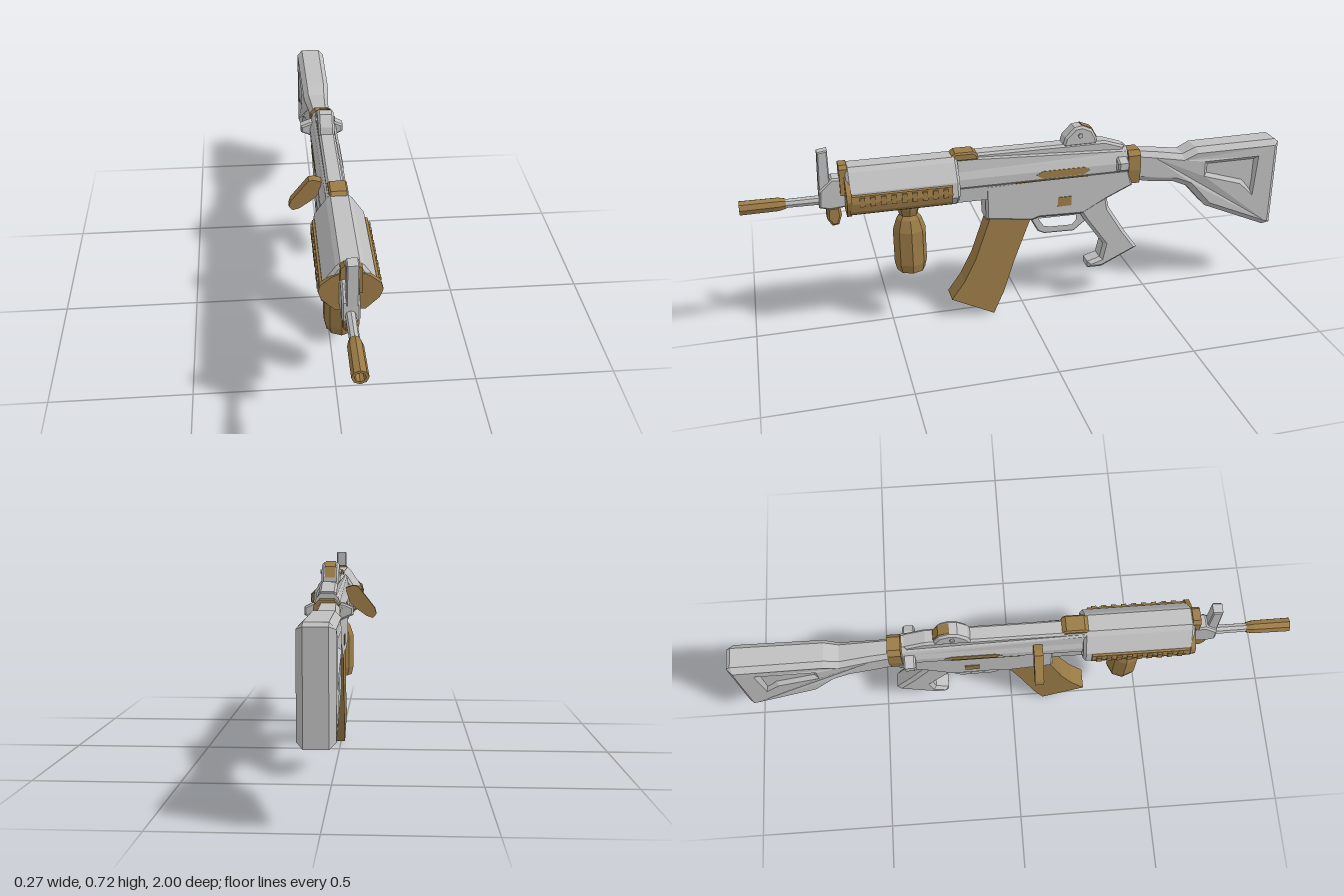
import * as THREE from 'three';

const CX = 0.02; // the body sits slightly off x = 0

export function createModel() {
  const group = new THREE.Group();
  const grey = new THREE.MeshStandardMaterial({ color: 0xc0c0c0 });
  grey.name = 'light grey metal';
  const brown = new THREE.MeshStandardMaterial({ color: 0x9c7c47 });
  brown.name = 'ochre brown';

  function add(name, geometry, material) {
    const g = geometry.index ? geometry.toNonIndexed() : geometry;
    g.computeVertexNormals();
    const mesh = new THREE.Mesh(g, material);
    mesh.name = name;
    group.add(mesh);
    return mesh;
  }

  function extrude(pts, depth, bevel, hole) {
    const v = (list) => list.map(([a, b]) => new THREE.Vector2(a, b));
    const shape = new THREE.Shape(v(pts));
    if (hole) shape.holes.push(new THREE.Path(v(hole)));
    return new THREE.ExtrudeGeometry(shape, {
      depth: depth - 2 * bevel, bevelEnabled: bevel > 0, bevelSize: bevel,
      bevelThickness: bevel, bevelOffset: -bevel, bevelSegments: 1, steps: 1,
    }).translate(0, 0, bevel);
  }

  // Side outline [z, y] with a width across x
  function side(pts, half, bevel = 0, hole = null, cx = CX) {
    return extrude(pts, half * 2, bevel, hole)
      .translate(0, 0, -half).rotateY(-Math.PI / 2).translate(cx, 0, 0);
  }

  // Cross-section [x, y] running from z0 to z1
  function bar(pts, z0, z1, bevel = 0) {
    return extrude(pts, z1 - z0, bevel).translate(0, 0, z0);
  }

  // Half section mirrored about the body's centre line, listed top to bottom
  const mirror = (pts) => [
    ...pts.map(([x, y]) => [CX - x, y]),
    ...pts.slice().reverse().map(([x, y]) => [CX + x, y]),
  ];

  function box(name, w, h, d, x, y, z, material) {
    return add(name, new THREE.BoxGeometry(w, h, d).translate(x, y, z), material);
  }

  function bend(geometry, rule) {
    const p = geometry.attributes.position;
    for (let i = 0; i < p.count; i++) {
      const [x, y, z] = rule(p.getX(i), p.getY(i), p.getZ(i));
      p.setXYZ(i, x, y, z);
    }
    return geometry;
  }

  // Upper receiver, top dropping towards the rear
  const receiver = bar(mirror([[0.022, 0.65], [0.036, 0.635], [0.042, 0.59], [0.051, 0.565], [0.051, 0.535], [0.045, 0.528], [0.042, 0.475]]), -0.385, 0.265);
  add('upperReceiver', bend(receiver, (x, y, z) =>
    [x, z < 0 && y > 0.6 ? y - 0.03 : y, z]), grey);
  add('receiverTopRail', side([[0.265, 0.63], [0.265, 0.65], [-0.3, 0.65], [-0.375, 0.625], [-0.375, 0.6], [0.2, 0.6]], 0.03, 0.008), grey);

  // Lower receiver with magazine well
  add('lowerReceiver', side([[0.15, 0.53], [0.15, 0.395], [-0.02, 0.37], [-0.05, 0.38], [-0.22, 0.375],
    [-0.31, 0.425], [-0.41, 0.47], [-0.39, 0.54]], 0.045, 0.008), grey);
  add('triggerGuard', side([[-0.01, 0.39], [-0.05, 0.315], [-0.075, 0.303], [-0.19, 0.3], [-0.24, 0.34], [-0.23, 0.39]], 0.025, 0.004,
    [[-0.046, 0.37], [-0.07, 0.33], [-0.1, 0.325], [-0.183, 0.323], [-0.202, 0.345], [-0.202, 0.37]]), grey);

  // Pistol grip
  add('pistolGrip', side([[-0.2, 0.39], [-0.23, 0.34], [-0.305, 0.235], [-0.293, 0.18], [-0.245, 0.165], [-0.246, 0.14],
    [-0.3, 0.138], [-0.442, 0.205], [-0.385, 0.285], [-0.322, 0.385], [-0.31, 0.44]], 0.037, 0.012, null, 0.026), grey);

  // Stock, tapering to a narrow neck
  const pocket = [[-0.715, 0.515], [-0.895, 0.515], [-0.895, 0.4], [-0.86, 0.445], [-0.715, 0.49]];
  const stock = side([[-0.42, 0.595], [-0.5, 0.585], [-0.61, 0.567], [-0.66, 0.59], [-0.985, 0.592], [-1, 0.58], [-1, 0.24], [-0.97, 0.235],
    [-0.715, 0.345], [-0.635, 0.435], [-0.58, 0.458], [-0.5, 0.465], [-0.42, 0.48]], 0.056, 0.02, pocket, 0.012);
  add('stock', bend(stock, (x, y, z) => {
    const t = THREE.MathUtils.clamp((-z - 0.46) / 0.24, 0, 1);
    return [0.014 + (x - 0.014) * (0.68 + 0.32 * t), y, z];
  }), grey);
  add('stockRecessFloor', side([[-0.68, 0.54], [-0.925, 0.54], [-0.925, 0.35], [-0.85, 0.41], [-0.68, 0.46]], 0.042, 0, null, 0.012), grey);
  add('stockCollar', bar(mirror([[0.025, 0.603], [0.042, 0.585], [0.046, 0.53], [0.038, 0.475]]), -0.437, -0.39), brown);

  // Handguard with flared sides
  const guard = [[0.03, 0.65], [0.045, 0.635], [0.085, 0.575], [0.09, 0.52], [0.045, 0.477]];
  add('handguard', bar(mirror(guard).map(([x, y]) => [x + 0.008, y]), 0.25, 0.64, 0.01), grey);
  add('handguardFrontCap', bar(mirror([[0.03, 0.62], [0.06, 0.605], [0.095, 0.575], [0.102, 0.55], [0.092, 0.52], [0.048, 0.475]])
    .map(([x, y]) => [x + 0.01, y]), 0.628, 0.645), brown);
  add('handguardTopCap', bar(mirror([[0.022, 0.658], [0.034, 0.645], [0.036, 0.55]])
    .map(([x, y]) => [x + 0.01, y]), 0.632, 0.66), brown);
  for (const s of [-1, 1]) {
    const cx = CX + 0.009;
    add('handguardSidePanel', bar([[cx + s * 0.07, 0.572], [cx + s * 0.094, 0.566], [cx + s * 0.098, 0.54],
      [cx + s * 0.09, 0.508], [cx + s * 0.07, 0.49]], 0.28, 0.635), brown);
    for (let i = 0; i < 9; i++) {
      box('handguardRib', 0.008, 0.032, 0.018, cx + s * 0.097, 0.545, 0.305 + i * 0.036, brown);
    }
  }

  // Barrel and muzzle
  const lathe = (pts, n) => new THREE.LatheGeometry(pts.map(([r, h]) => new THREE.Vector2(r, h)), n);
  add('barrel', new THREE.CylinderGeometry(0.016, 0.019, 0.26, 8).rotateX(Math.PI / 2).translate(0.022, 0.525, 0.74), grey);
  add('muzzleDevice', lathe([[0, 0.845], [0.019, 0.845], [0.025, 0.87], [0.026, 1], [0.017, 1], [0.014, 0.94], [0, 0.94]], 8)
    .rotateX(Math.PI / 2).translate(0.022, 0.525, 0), brown);

  // Front sight
  add('frontSightBase', side([[0.64, 0.605], [0.685, 0.61], [0.73, 0.57], [0.735, 0.505], [0.7, 0.495], [0.64, 0.5]], 0.029, 0.006, null, 0.023), grey);
  add('frontSightPost', side([[0.692, 0.56], [0.692, 0.713], [0.727, 0.708], [0.733, 0.56]], 0.02, 0.004, null, 0.027), grey);
  add('frontLug', side([[0.71, 0.505], [0.712, 0.46], [0.695, 0.432], [0.672, 0.435], [0.66, 0.47], [0.665, 0.505]], 0.025, 0.008, null, 0.027), brown);

  // Rear sight with a plate over its rear slope
  add('rearSight', side([[-0.14, 0.64], [-0.15, 0.675], [-0.185, 0.71], [-0.215, 0.714], [-0.25, 0.698], [-0.268, 0.665], [-0.27, 0.64]], 0.03, 0.008, null, 0.018), grey);
  add('rearSightKnob', new THREE.CylinderGeometry(0.009, 0.009, 0.072, 6).rotateZ(Math.PI / 2).translate(0.018, 0.68, -0.205), grey);
  add('rearSightPlate', side([[-0.212, 0.717], [-0.252, 0.701], [-0.272, 0.665], [-0.267, 0.664], [-0.249, 0.697], [-0.213, 0.712]], 0.018, 0, null, 0.018), brown);
  add('topBlock', side([[0.27, 0.63], [0.268, 0.65], [0.255, 0.661], [0.19, 0.661], [0.176, 0.65], [0.174, 0.63]], 0.033, 0.006, null, 0.027), brown);

  // Charging handle on one side only
  add('chargingHandle', bar([[-0.136, 0.505], [-0.122, 0.49], [-0.098, 0.498], [-0.06, 0.525], [-0.01, 0.57], [-0.01, 0.6],
    [-0.045, 0.612], [-0.065, 0.61], [-0.13, 0.527]], 0.074, 0.106), brown);

  // Side controls
  add('crossPin', bar([[-0.066, 0.548], [-0.03, 0.532], [0.07, 0.532], [0.097, 0.548], [0.097, 0.574], [0.07, 0.588],
    [-0.03, 0.588], [-0.066, 0.574]], -0.383, -0.34, 0.006), grey);
  for (const s of [-1, 1]) {
    add('sideSlot', side([[-0.035, 0.553], [-0.06, 0.566], [-0.215, 0.566], [-0.24, 0.553], [-0.215, 0.539], [-0.06, 0.538]], 0.002, 0, null, CX + s * 0.0505), brown);
    box('sideGroove', 0.006, 0.004, 0.27, CX + s * 0.0475, 0.53, -0.095, brown);
    box('selectorPlate', 0.008, 0.036, 0.052, CX + s * 0.044, 0.436, -0.145, brown);
  }

  // Fore grip
  add('foreGrip', lathe([[0, 0.217], [0.053, 0.217], [0.061, 0.25], [0.061, 0.38], [0.046, 0.423], [0.034, 0.437], [0.043, 0.465], [0.045, 0.5], [0, 0.5]], 8)
    .scale(0.93, 1, 0.97).translate(0.021, 0, 0.425), brown);

  // Curved magazine
  add('magazine', side([[0.14, 0.42], [0.138, 0.39], [0.192, 0.235], [0.235, 0.15], [0.285, 0.081], [0.125, 0],
    [0.085, 0.09], [0.045, 0.215], [-0.015, 0.375], [-0.01, 0.42]], 0.038, 0, null, 0.023), brown);

  return group;
}
